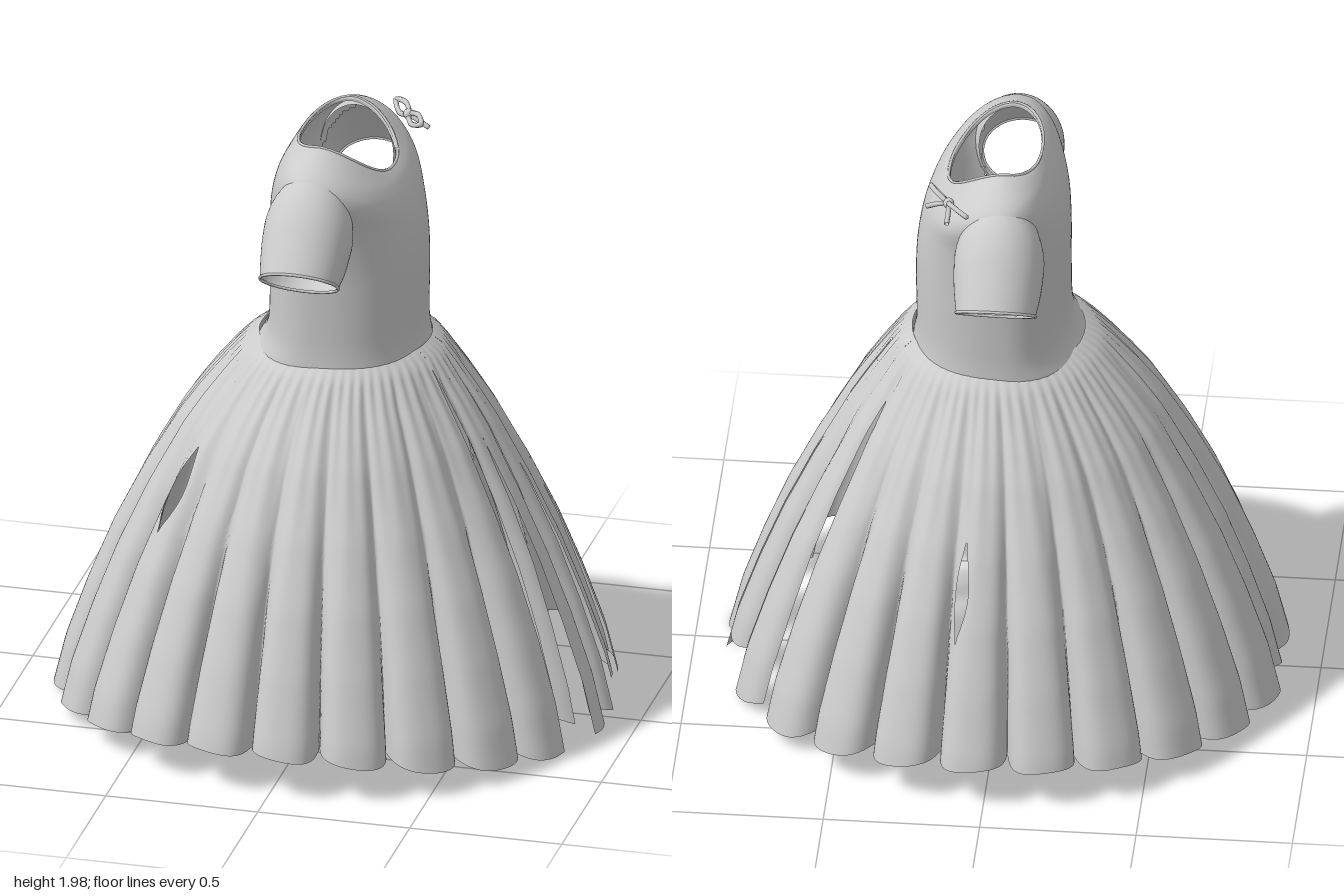
import * as THREE from 'three';

const material = new THREE.MeshStandardMaterial({ color: 0xcccccc, side: THREE.DoubleSide, roughness: 0.9 });
const TAU = Math.PI * 2;
const { lerp, clamp, smoothstep } = THREE.MathUtils;

// Surface from point(u, v); u runs around, v runs along. skip(p) leaves holes.
function sheet(name, point, nu, nv, closed = false, skip = null) {
  const cols = closed ? nu : nu + 1;
  const pos = [], index = [];
  for (let i = 0; i <= nv; i++)
    for (let j = 0; j < cols; j++) pos.push(...point(j / nu, i / nv));
  const at = (k, axis) => pos[k * 3 + axis];
  for (let i = 0; i < nv; i++) {
    for (let j = 0; j < nu; j++) {
      const a = i * cols + j, b = i * cols + ((j + 1) % cols);
      const c = a + cols, d = b + cols;
      if (skip && skip(...[0, 1, 2].map(k => (at(a, k) + at(b, k) + at(c, k) + at(d, k)) / 4))) continue;
      index.push(a, c, b, b, c, d);
    }
  }
  const g = new THREE.BufferGeometry();
  g.setAttribute('position', new THREE.Float32BufferAttribute(pos, 3));
  g.setIndex(index);
  g.computeVertexNormals();
  const mesh = new THREE.Mesh(g, material);
  mesh.name = name;
  return mesh;
}

// Smooth interpolation through a short table of rows
function sampleRows(rows, v) {
  const f = clamp(v, 0, 1) * (rows.length - 1);
  const i = Math.min(Math.floor(f), rows.length - 2), t = f - i;
  const row = k => rows[clamp(k, 0, rows.length - 1)];
  return rows[i].map((_, k) => {
    const p0 = row(i - 1)[k], p1 = row(i)[k], p2 = row(i + 1)[k], p3 = row(i + 2)[k];
    return p1 + 0.5 * t * (p2 - p0 + t * (2 * p0 - 5 * p1 + 4 * p2 - p3 + t * (3 * (p1 - p2) + p3 - p0)));
  });
}

// Bodice rows: chest x, back x, half width z, then heights at chest, back and sides
const bodiceRows = [
  [0.30, -0.245, 0.30, 1.26, 1.26, 1.26],
  [0.29, -0.207, 0.297, 1.34, 1.34, 1.34],
  [0.292, -0.2, 0.30, 1.5, 1.5, 1.5],
  [0.288, -0.2, 0.306, 1.62, 1.65, 1.62],
  [0.273, -0.193, 0.325, 1.72, 1.78, 1.75],
  [0.25, -0.17, 0.36, 1.79, 1.87, 1.87],
  [0.222, -0.14, 0.345, 1.838, 1.93, 1.932],
  [0.2, -0.12, 0.275, 1.864, 1.96, 1.974],
  [0.188, -0.11, 0.207, 1.872, 1.969, 1.998],
  [0.182, -0.105, 0.198, 1.86, 1.957, 1.985],
];
function bodicePoint(u, v) {
  const [xf, xb, b, yf, yb, ys] = sampleRows(bodiceRows, v);
  const c = Math.cos(u * TAU), s = Math.sin(u * TAU);
  const round = k => Math.sign(k) * Math.abs(k) ** 0.88;
  const y = ys + ((c > 0 ? yf : yb) - ys) * Math.abs(c) ** 1.5;
  return [round(c) * (c > 0 ? xf : -xb), y, round(s) * b];
}
const inArmhole = (x, y, z) => Math.abs(z) > 0.2 && (x / 0.12) ** 2 + ((y - 1.75) / 0.15) ** 2 < 1;

// Sleeve rings: top z, top y, bottom z, bottom y, half width x
const sleeveRows = [
  [0.26, 1.945, 0.27, 1.62, 0.12],
  [0.355, 1.93, 0.3, 1.595, 0.142],
  [0.43, 1.872, 0.325, 1.577, 0.143],
  [0.495, 1.787, 0.35, 1.566, 0.137],
  [0.555, 1.7, 0.38, 1.57, 0.127],
];
const sleevePoint = side => (u, v) => {
  const [tz, ty, bz, by, w] = sampleRows(sleeveRows, v);
  const a = -side * u * TAU, k = 0.5 + 0.5 * Math.sin(a);
  return [Math.cos(a) * w - 0.003, lerp(by, ty, k), side * lerp(bz, tz, k)];
};

// Skirt radius by height, from floor to waist
const skirtProfile = [[0, 0.94], [0.2, 0.89], [0.4, 0.818], [0.6, 0.735], [0.8, 0.635], [1.0, 0.52], [1.1, 0.45], [1.2, 0.372], [1.26, 0.32], [1.285, 0.275]];
function skirtRadius(y) {
  const i = Math.max(1, skirtProfile.findIndex(p => p[0] >= y));
  const [y0, r0] = skirtProfile[i - 1], [y1, r1] = skirtProfile[i];
  return lerp(r0, r1, (y - y0) / (y1 - y0));
}
const WAIST = 1.28, PLEAT = 0.28;

// Splits between skirt panels: angle, top y, bottom y (0 = open at the hem),
// half angle, and how much the panel after the split is shortened
const splits = [
  [-1.45, 0.84, 0.55, 0.035, 0],
  [-0.53, 1.1, 0, 0.05, 0],
  [-0.36, 0.7, 0, 0.01, 0.09],
  [-0.1, 0.85, 0, 0.016, 0],
  [0.0, 1.2, 0, 0.022, 0],
  [0.17, 0.95, 0, 0.025, 0.05],
  [0.34, 1.2, 0, 0.045, 0],
  [2.37, 0.98, 0.73, 0.055, 0],
];
function gap([, top, bottom, w], y) {
  const k = clamp((top - y) / (top - bottom), 0, 1);
  return bottom > 0 ? w * Math.sin(k * Math.PI) : w * Math.sqrt(k);
}
// Pleats mirror about the back seam; full lobes lean over narrow grooves
function skirtPoint(angle, y) {
  const down = (WAIST - y) / WAIST;
  const fromBack = Math.acos(clamp(-Math.cos(angle), -1, 1));
  const side = Math.sin(angle) < 0 ? 1 : -1;
  const phase = Math.PI * ((fromBack - 0.22) / PLEAT + 0.5);
  const fold = 1 - Math.abs(Math.sin(phase));
  const away = smoothstep(fromBack, 0, 0.1) * (1 - smoothstep(fromBack, Math.PI - 0.1, Math.PI));
  const lean = 0.034 * Math.sin(2 * phase) * away * smoothstep(down, 0.1, 0.9);
  const depth = 0.12 * smoothstep(down, 0.0, 0.95) + 0.025 * smoothstep(down, 0.01, 0.1);
  const gathers = 0.012 * Math.sin(angle * 61 + Math.sin(angle * 5)) * Math.exp(-down * 5) * smoothstep(down, 0, 0.05);
  const r = skirtRadius(y) * (1 - depth * fold ** 1.2 + gathers);
  const a = angle - side * lean;
  return [Math.cos(a) * r * 0.968 + 0.03 * Math.exp(-down * 6), y, Math.sin(a) * r];
}
function skirtPanel(k) {
  const from = splits[k], next = splits[(k + 1) % splits.length];
  const end = next[0] + (k === splits.length - 1 ? TAU : 0);
  const columns = Math.max(8, Math.ceil((end - from[0]) * 90));
  return sheet('skirtPanel', (u, v) => {
    const base = lerp(from[0], end, u);
    const ripple = 0.008 * Math.cos(base * 24);
    const hem = 0.03 + 0.13 * Math.sin(base) ** 2 + ripple + from[4];
    const y = lerp(hem, WAIST, v);
    return skirtPoint(lerp(from[0] + gap(from, y), end - gap(next, y), u), y);
  }, columns, 44);
}

// Tube through a few points
function ribbon(name, points, radius, closed = false) {
  const curve = new THREE.CatmullRomCurve3(points.map(p => new THREE.Vector3(...p)), closed);
  const mesh = new THREE.Mesh(new THREE.TubeGeometry(curve, closed ? 60 : 16, radius, 6, closed), material);
  mesh.name = name;
  return mesh;
}

// Bow lying along the shoulder, tails hanging outward
function makeBow() {
  const bow = new THREE.Group();
  bow.name = 'shoulderBow';
  const knot = new THREE.Mesh(new THREE.SphereGeometry(0.018, 12, 8), material);
  knot.name = 'bowKnot';
  bow.add(knot);
  for (const s of [-1, 1]) {
    const loop = ribbon('bowLoop', [[0, 0, 0], [s * 0.05, 0.016, 0.012], [s * 0.105, 0.008, 0], [s * 0.05, -0.012, -0.012]], 0.009, true);
    const tail = ribbon('bowTail', [[0, 0, 0], [s * 0.03, -0.012, 0.02], [s * 0.06, -0.03, 0.045]], 0.009);
    bow.add(loop, tail);
  }
  bow.position.set(0.165, 1.925, -0.275);
  bow.rotation.y = 2.21;
  return bow;
}

export function createModel() {
  const dress = new THREE.Group();
  dress.name = 'dress';

  // Bodice with open armholes and neckline
  dress.add(sheet('bodice', bodicePoint, 120, 72, true, inArmhole));
  const neck = Array.from({ length: 24 }, (_, i) => bodicePoint(i / 24, 8 / 9));
  dress.add(ribbon('neckTrim', neck, 0.005, true));

  // Short sleeves with a rolled cuff
  for (const side of [-1, 1]) {
    const point = sleevePoint(side);
    dress.add(sheet(side > 0 ? 'frontSleeve' : 'backSleeve', point, 48, 24, true));
    const cuff = Array.from({ length: 16 }, (_, i) => point(i / 16, 0.99));
    dress.add(ribbon('sleeveCuff', cuff, 0.005, true));
  }

  // Pleated skirt in panels separated by splits
  const skirt = new THREE.Group();
  skirt.name = 'skirt';
  splits.forEach((_, k) => skirt.add(skirtPanel(k)));
  dress.add(skirt, makeBow());
  return dress;
}
